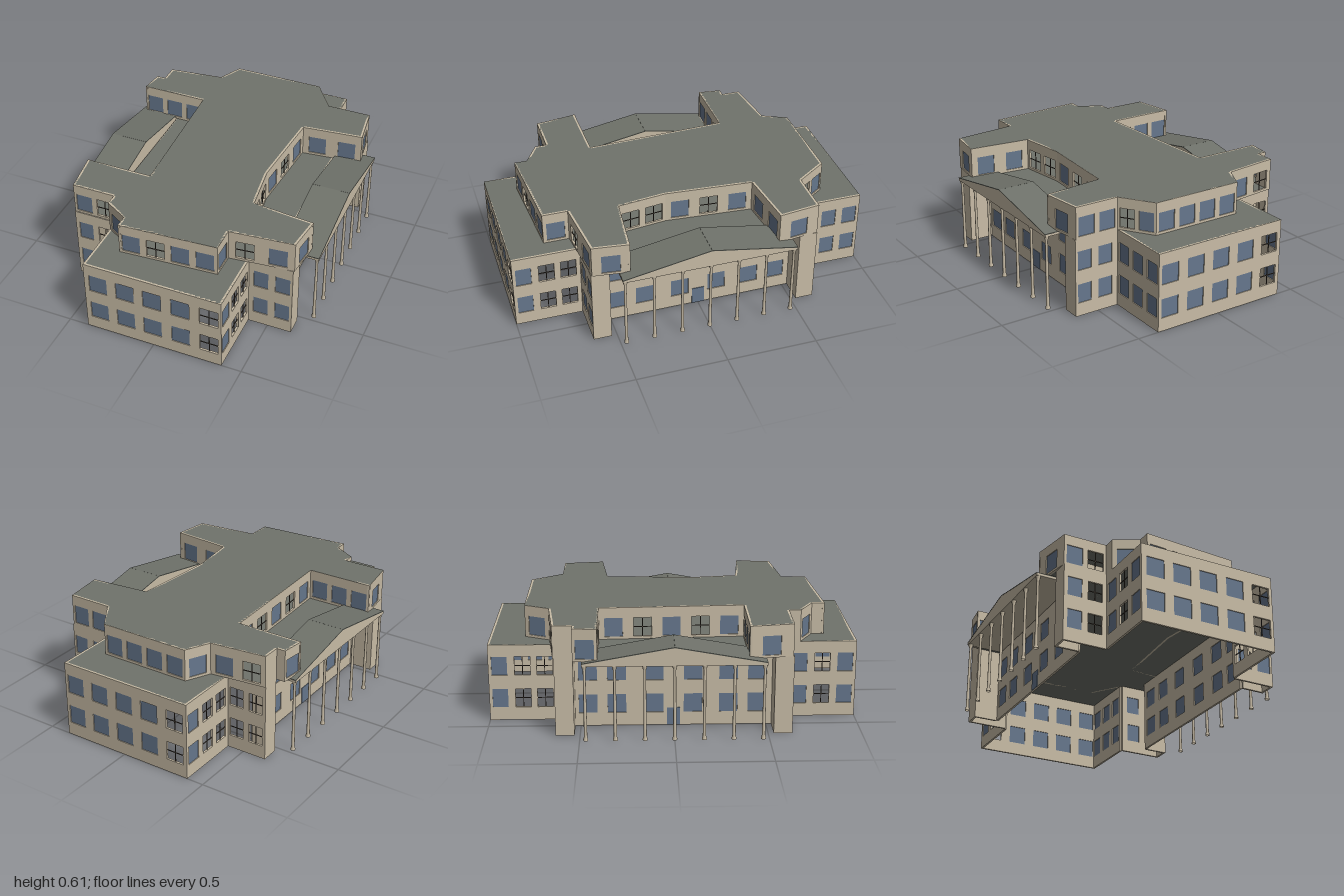
import * as THREE from 'three';

const material = (name, color, side = THREE.FrontSide) => {
  const m = new THREE.MeshStandardMaterial({ color, side });
  m.name = name;
  return m;
};
const WALL = material('stone wall', 0xc8bca6, THREE.DoubleSide);
const ROOF = material('grey roof', 0x70736b, THREE.DoubleSide);
const GLASS = material('blue glass', 0x66778d);
const FRAME = material('dark frame', 0x4d443b);
const THICK = 0.012;
const FLOOR_ROWS = [0.127, 0.312];
const LOWER_TOP = 0.432, TOP = 0.61;

function add(parent, name, geometry, mat, x = 0, y = 0, z = 0) {
  const mesh = new THREE.Mesh(geometry, mat);
  mesh.name = name;
  mesh.position.set(x, y, z);
  parent.add(mesh);
  return mesh;
}

// Wall from a to b (outside is on the right of travel), pierced by windows
function wall(parent, a, b, y0, y1, rows, centers, width, open) {
  const dx = b[0] - a[0], dz = b[1] - a[1], len = Math.hypot(dx, dz);
  const group = new THREE.Group();
  group.name = 'wallSection';
  group.position.set(a[0], 0, a[1]);
  group.rotation.y = Math.atan2(-dz, dx);
  parent.add(group);
  const shape = new THREE.Shape([
    new THREE.Vector2(0, y0), new THREE.Vector2(len, y0),
    new THREE.Vector2(len, y1), new THREE.Vector2(0, y1)]);
  const h = 0.106, w = width / 2;
  for (const cy of rows) centers.forEach((cx, i) => {
    shape.holes.push(new THREE.Path([
      new THREE.Vector2(cx - w, cy - h / 2), new THREE.Vector2(cx - w, cy + h / 2),
      new THREE.Vector2(cx + w, cy + h / 2), new THREE.Vector2(cx + w, cy - h / 2)]));
    if (open.includes(i)) {
      // Unglazed window: only the crossbars
      add(group, 'windowMullion', new THREE.BoxGeometry(0.004, h, 0.004), FRAME, cx, cy, -0.006);
      add(group, 'windowCrossbar', new THREE.BoxGeometry(width, 0.004, 0.004), FRAME, cx, cy, -0.006);
    } else {
      add(group, 'windowPane', new THREE.BoxGeometry(width, h, 0.003), GLASS, cx, cy, -0.006);
    }
  });
  const geo = new THREE.ExtrudeGeometry(shape, { depth: THICK, bevelEnabled: false });
  add(group, 'wall', geo.translate(0, 0, -THICK), WALL);
}

function slab(parent, name, outline, y) {
  const shape = new THREE.Shape(outline.map(p => new THREE.Vector2(p[0], -p[1])));
  add(parent, name, new THREE.ShapeGeometry(shape).rotateX(-Math.PI / 2), ROOF, 0, y, 0);
}

// Lower two storeys: [x, z, window centres along the wall, window width, open windows]
const SIDE = [0.07, 0.225, 0.425, 0.635, 0.825, 0.98];
const LOWER = [
  [-0.39, 1, [0.08, 0.235, 0.39, 0.55, 0.71], 0.103, [4]],
  [0.39, 1, [0.06, 0.185, 0.305], 0.085, [1, 2]],
  [0.39, 0.63, [0.068, 0.19], 0.082, []],
  [0.635, 0.63], [0.635, 0.53],
  [0.5, 0.53, SIDE, 0.1, []],
  [0.5, -0.53], [0.635, -0.53],
  [0.635, -0.63, [0.055, 0.18], 0.082, []],
  [0.38, -0.63, [0.06, 0.185, 0.31], 0.085, []],
  [0.38, -1, [0.07, 0.23, 0.39, 0.55, 0.71], 0.103, [4]],
  [-0.405, -1, [0.06, 0.185, 0.305], 0.085, [1, 2]],
  [-0.405, -0.63, [0.053, 0.17], 0.082, [0, 1]],
  [-0.635, -0.63], [-0.635, -0.53],
  [-0.5, -0.53, SIDE, 0.1, []],
  [-0.5, 0.53], [-0.635, 0.53],
  [-0.635, 0.63, [0.063, 0.18], 0.082, [1]],
  [-0.39, 0.63, [0.06, 0.185, 0.31], 0.085, [1]],
];

// Upper storey: [x, z, evenly spaced window count, open windows]
const UPPER = [
  [-0.26, 0.835, 4, [1]], [0.285, 0.8, 1], [0.285, 0.66, 2, [0]], [0.64, 0.625, 1],
  [0.665, 0.425, 2], [0.32, 0.39, 2, [0, 1]], [0.285, 0.12, 3, [1]], [0.32, -0.365, 2],
  [0.66, -0.4, 1], [0.63, -0.63, 2], [0.38, -0.63, 2, [0]], [0.26, -0.805, 4],
  [-0.26, -0.805, 1], [-0.325, -0.67, 2, [1]], [-0.635, -0.635, 0], [-0.635, -0.53, 0],
  [-0.685, -0.53, 1], [-0.7, -0.4, 3], [-0.325, -0.4, 5, [1, 3]], [-0.29, 0.39, 3],
  [-0.67, 0.39, 1], [-0.635, 0.625, 2, [1]], [-0.39, 0.625, 0], [-0.39, 0.69, 1],
  [-0.26, 0.765, 0],
];

// Gabled porch on slender columns, built on the +x side
function portico() {
  const g = new THREE.Group();
  const x0 = 0.51, x1 = 0.722, half = 0.482, eave = 0.427, ridge = 0.513;
  const gable = new THREE.Shape([[-half, 0.415], [half, 0.415], [half, eave], [0, ridge], [-half, eave]]
    .map(p => new THREE.Vector2(...p)));
  const geo = new THREE.ExtrudeGeometry(gable, { depth: x1 - x0, bevelEnabled: false });
  add(g, 'porchGable', geo.rotateY(Math.PI / 2), WALL, x0);
  const rise = ridge - eave, angle = Math.atan2(rise, half);
  for (const s of [-1, 1]) {
    const plate = add(g, 'porchRoof', new THREE.BoxGeometry(x1 - x0 + 0.002, 0.004, Math.hypot(half, rise)),
      ROOF, (x0 + x1) / 2, (eave + ridge) / 2 + 0.002, s * half / 2);
    plate.rotation.x = s * angle;
  }
  // Columns turned from one profile, with foot and capital
  const profile = [[0.013, 0], [0.013, 0.008], [0.009, 0.022], [0.007, 0.39], [0.012, 0.405], [0.013, 0.416]]
    .map(p => new THREE.Vector2(...p));
  for (const z of [-0.468, -0.312, -0.156, 0, 0.156, 0.312, 0.468]) {
    add(g, 'porchColumn', new THREE.LatheGeometry(profile, 12), WALL, 0.708, 0, z);
  }
  // Entrance door
  add(g, 'door', new THREE.BoxGeometry(0.006, 0.1, 0.07), GLASS, 0.5, 0.05, 0);
  return g;
}

export function createModel() {
  const model = new THREE.Group();
  model.name = 'building';

  const lower = new THREE.Group();
  lower.name = 'lowerStoreys';
  model.add(lower);
  LOWER.forEach((p, i) => {
    const [, , centers = [], width = 0.1, open = []] = p;
    wall(lower, p, LOWER[(i + 1) % LOWER.length], 0, LOWER_TOP, FLOOR_ROWS, centers, width, open);
  });
  slab(lower, 'lowerRoof', LOWER, LOWER_TOP);

  const upper = new THREE.Group();
  upper.name = 'upperStorey';
  model.add(upper);
  UPPER.forEach((p, i) => {
    const q = UPPER[(i + 1) % UPPER.length], n = p[2];
    const len = Math.hypot(q[0] - p[0], q[1] - p[1]);
    const centers = Array.from({ length: n }, (_, k) => len * (k + 0.5) / n);
    wall(upper, p, q, LOWER_TOP, TOP, [0.499], centers, Math.min(0.1, len / n * 0.76), p[3] || []);
  });
  slab(upper, 'upperFloor', UPPER, LOWER_TOP + 0.003);
  slab(upper, 'upperRoof', UPPER, TOP);

  const right = portico(), left = portico();
  right.name = 'leftPortico';
  left.name = 'rightPortico';
  left.rotation.y = Math.PI;
  model.add(right, left);
  return model;
}
